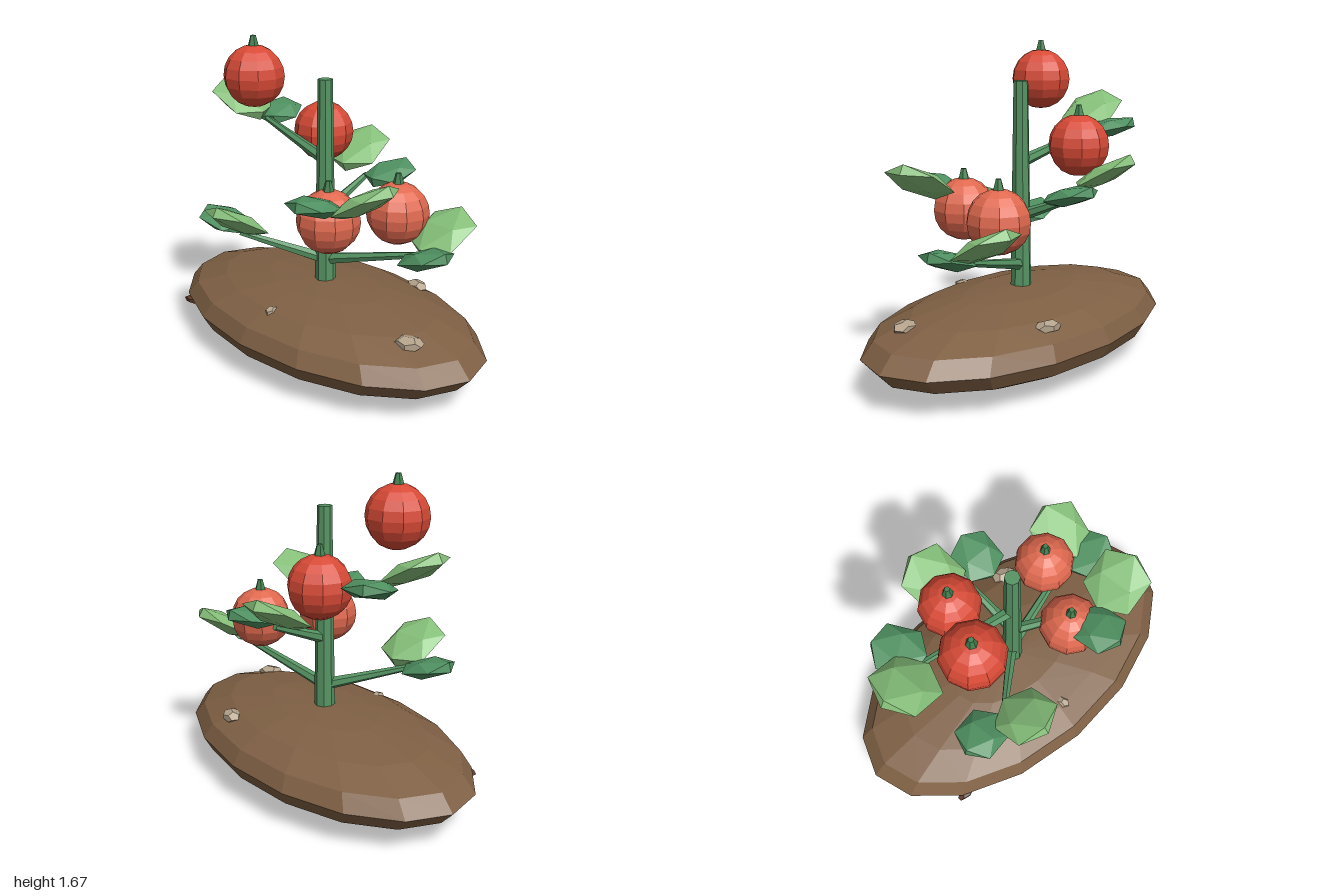
import * as THREE from 'three';

const mat = (name, color) => Object.assign(new THREE.MeshStandardMaterial({ color, flatShading: true }), { name });
const UP = new THREE.Vector3(0, 1, 0);

export function createModel() {
  const group = new THREE.Group();
  const soil = mat('soil brown', 0x7f6044);
  const clodBrown = mat('dark clod', 0x5a3826);
  const stone = mat('pebble beige', 0xb5a38c);
  const stemGreen = mat('stem green', 0x569463);
  const darkLeaf = mat('dark leaf green', 0x4f9161);
  const lightLeaf = mat('light leaf green', 0x86c07a);
  const calyx = mat('calyx green', 0x42804f);
  const red = mat('ripe red', 0xd84a36);
  const coral = mat('half-ripe red', 0xe0694f);

  const add = (name, geometry, material, pos = [0, 0, 0]) => {
    const mesh = new THREE.Mesh(geometry, material);
    mesh.name = name;
    mesh.position.set(...pos);
    group.add(mesh);
    return mesh;
  };

  // Soil mound, slightly turned
  const mound = add('mound', new THREE.SphereGeometry(1, 16, 8), soil, [0, 0.208, 0]);
  mound.scale.set(1.005, 0.207, 0.57);
  mound.rotation.y = -0.11;

  // Tapered main stem
  add('stem', new THREE.CylinderGeometry(0.038, 0.058, 1.275, 8), stemGreen, [0, 0.8375, 0]);

  // Branches: height on the stem, then the tip
  const branches = [
    [1.06, [-0.52, 1.18, -0.1]],
    [0.78, [0, 0.91, -0.33]],
    [0.52, [0.56, 0.66, -0.09]],
    [0.78, [0.3, 0.93, 0.25]],
    [0.52, [-0.36, 0.65, 0.27]],
  ];
  for (const [y, tip] of branches) {
    const a = new THREE.Vector3(0, y, 0), b = new THREE.Vector3(...tip);
    const d = b.clone().sub(a);
    const branch = add('branch', new THREE.CylinderGeometry(0.016, 0.032, d.length(), 6), stemGreen,
      a.add(b).multiplyScalar(0.5).toArray());
    branch.quaternion.setFromUnitVectors(UP, d.normalize());
  }

  // Leaves: faceted flat pods, half sizes [width, thickness, length], tilted along dir
  const leafGeo = new THREE.IcosahedronGeometry(1 / 0.851, 0);
  const leaf = (name, material, pos, dir, size) => {
    const z = new THREE.Vector3(...dir).normalize();
    const x = UP.clone().cross(z).normalize();
    const mesh = add(name, leafGeo, material, pos);
    mesh.quaternion.setFromRotationMatrix(new THREE.Matrix4().makeBasis(x, z.clone().cross(x), z));
    mesh.scale.set(...size);
  };
  const big = [
    [[-0.66, 1.28, -0.05], [-0.87, 0.48, 0.05]],
    [[-0.13, 1.02, -0.42], [-0.1, 0.48, -0.85]],
    [[0.6, 0.76, -0.2], [0.15, 0.5, -0.85]],
    [[0.49, 1.0, 0.27], [0.87, 0.5, -0.05]],
    [[-0.29, 0.75, 0.36], [0, 0.5, 0.85]],
  ];
  const small = [
    [[-0.55, 1.2, -0.22], [-0.5, 0.2, -0.8]],
    [[0.13, 0.94, -0.37], [0.1, 0.25, -0.95]],
    [[0.64, 0.68, -0.01], [0.95, 0.28, 0.1]],
    [[0.255, 0.95, 0.36], [0.05, 0.2, 0.95]],
    [[-0.5, 0.69, 0.25], [-0.95, 0.25, 0.1]],
  ];
  for (const [p, d] of big) leaf('largeLeaf', lightLeaf, p, d, [0.145, 0.045, 0.165]);
  for (const [p, d] of small) leaf('smallLeaf', darkLeaf, p, d, [0.115, 0.042, 0.135]);

  // Fruits, each with a short stalk on top
  const fruits = [
    [red, [-0.385, 1.46, 0.12]],
    [red, [-0.21, 1.14, -0.22]],
    [coral, [0.21, 0.83, 0.21]],
    [coral, [0.38, 0.83, -0.12]],
  ];
  for (const [material, p] of fruits) {
    add('fruit', new THREE.SphereGeometry(0.16, 10, 10), material, p);
    add('fruitStalk', new THREE.CylinderGeometry(0.014, 0.032, 0.065, 6), calyx, [p[0], p[1] + 0.175, p[2]]);
  }

  // Half-buried pebbles and a clod
  const pebbles = [
    [stone, [0.71, 0.34, 0.2], [0.075, 0.032, 0.06], 0.3],
    [stone, [0.33, 0.34, -0.37], [0.07, 0.032, 0.05], -0.4],
    [stone, [-0.01, 0.345, 0.39], [0.032, 0.028, 0.045], 0.2],
    [clodBrown, [-0.72, 0.175, 0.32], [0.06, 0.022, 0.03], 0],
  ];
  for (const [material, p, s, turn] of pebbles) {
    const m = add('pebble', new THREE.DodecahedronGeometry(1, 0), material, p);
    m.scale.set(...s);
    m.rotation.y = turn;
  }
  return group;
}
